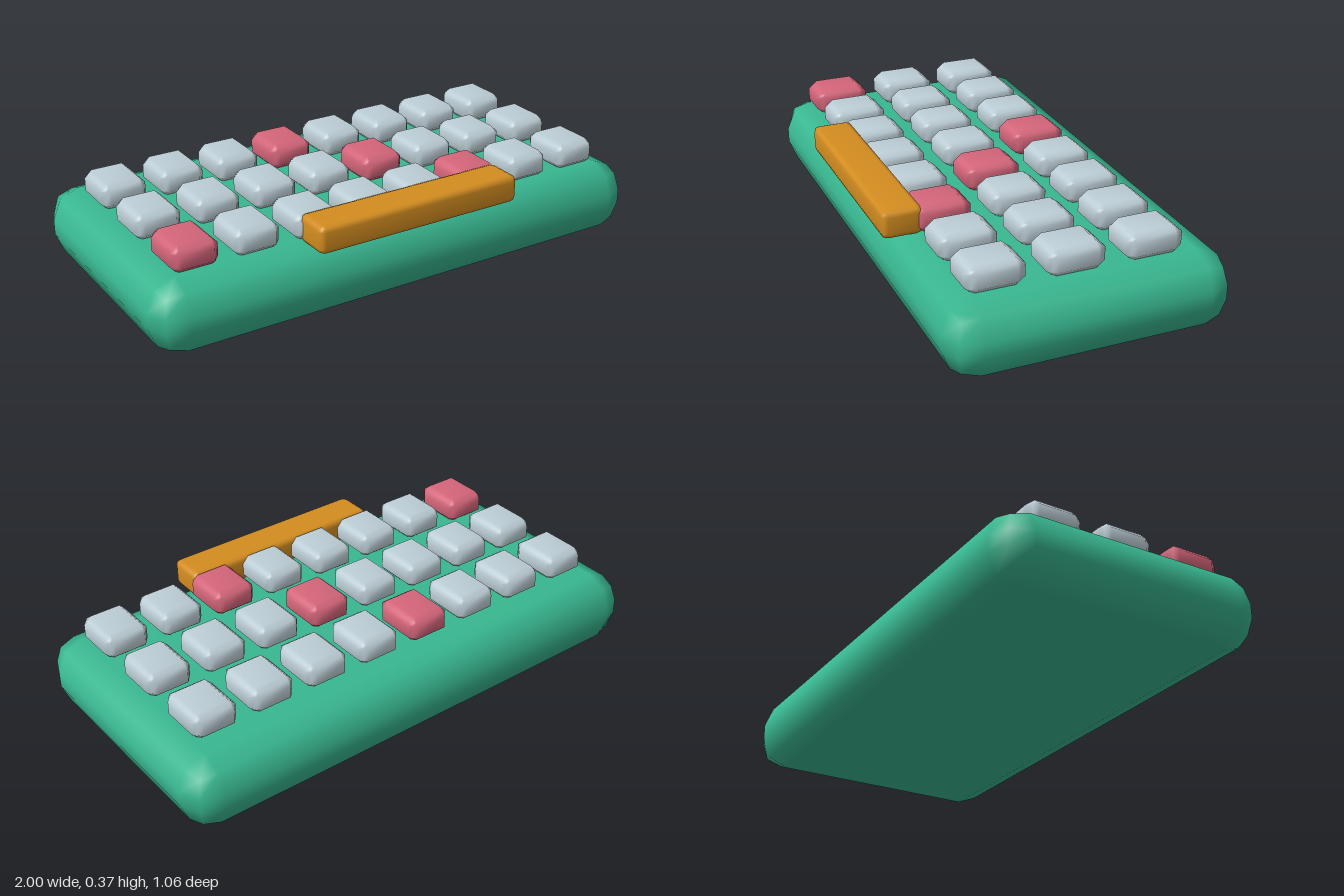
import * as THREE from 'three';
import { mergeVertices } from 'three/addons/utils/BufferGeometryUtils.js';

const material = (name, color) => {
  const m = new THREE.MeshStandardMaterial({ color });
  m.name = name;
  return m;
};

// Smooth box with bevelled edges; radii per axis, either rounded or a single chamfer
function bevelBox(size, radii, rounded) {
  let geo = new THREE.BoxGeometry(2, 2, 2, 3, 3, 3);
  const pos = geo.attributes.position;
  const p = new THREE.Vector3();
  const outer = (v) => (Math.abs(v) > 0.9 ? Math.sign(v) : 0);
  for (let i = 0; i < pos.count; i++) {
    p.fromBufferAttribute(pos, i);
    const n = [outer(p.x), outer(p.y), outer(p.z)];
    const len = rounded ? Math.hypot(...n) : n.reduce((s, v) => s + Math.abs(v), 0);
    const c = p.toArray().map((v, a) => Math.sign(v) * (size[a] / 2 - radii[a]) + (n[a] / len) * radii[a]);
    pos.setXYZ(i, ...c);
  }
  geo.deleteAttribute('uv');
  geo.deleteAttribute('normal');
  geo = mergeVertices(geo, 1e-4);
  geo.computeVertexNormals();
  return geo;
}

export function createModel() {
  const green = material('case green', 0x38b790);
  const grey = material('key grey', 0xbccdd5);
  const red = material('accent red', 0xd4657a);
  const orange = material('space bar orange', 0xd48d20);

  const model = new THREE.Group();
  model.name = 'keyboard';
  const add = (name, geo, mat, x, y, z, parent = model) => {
    const mesh = new THREE.Mesh(geo, mat);
    mesh.name = name;
    mesh.position.set(x, y, z);
    parent.add(mesh);
  };

  // Case
  add('case', bevelBox([2, 0.277, 1.038], [0.11, 0.11, 0.11], true), green, 0, 0.1385, -0.01);

  // Three rows of eight keys, with a few accents
  const keys = new THREE.Group();
  keys.name = 'keys';
  model.add(keys);
  const keyGeo = bevelBox([0.175, 0.104, 0.212], [0.028, 0.028, 0.035], false);
  const accents = [[3], [4], [0, 5]];
  accents.forEach((cols, row) => {
    for (let col = 0; col < 8; col++) {
      const accent = cols.includes(col);
      add(accent ? 'accentKey' : 'key', keyGeo, accent ? red : grey,
        -0.81 + col * 0.23, 0.321, -0.264 + row * 0.286, keys);
    }
  });

  // Space bar overhanging the front edge
  add('spaceBar', bevelBox([0.828, 0.105, 0.15], [0.022, 0.022, 0.022], true), orange, 0, 0.321, 0.455);

  return model;
}
